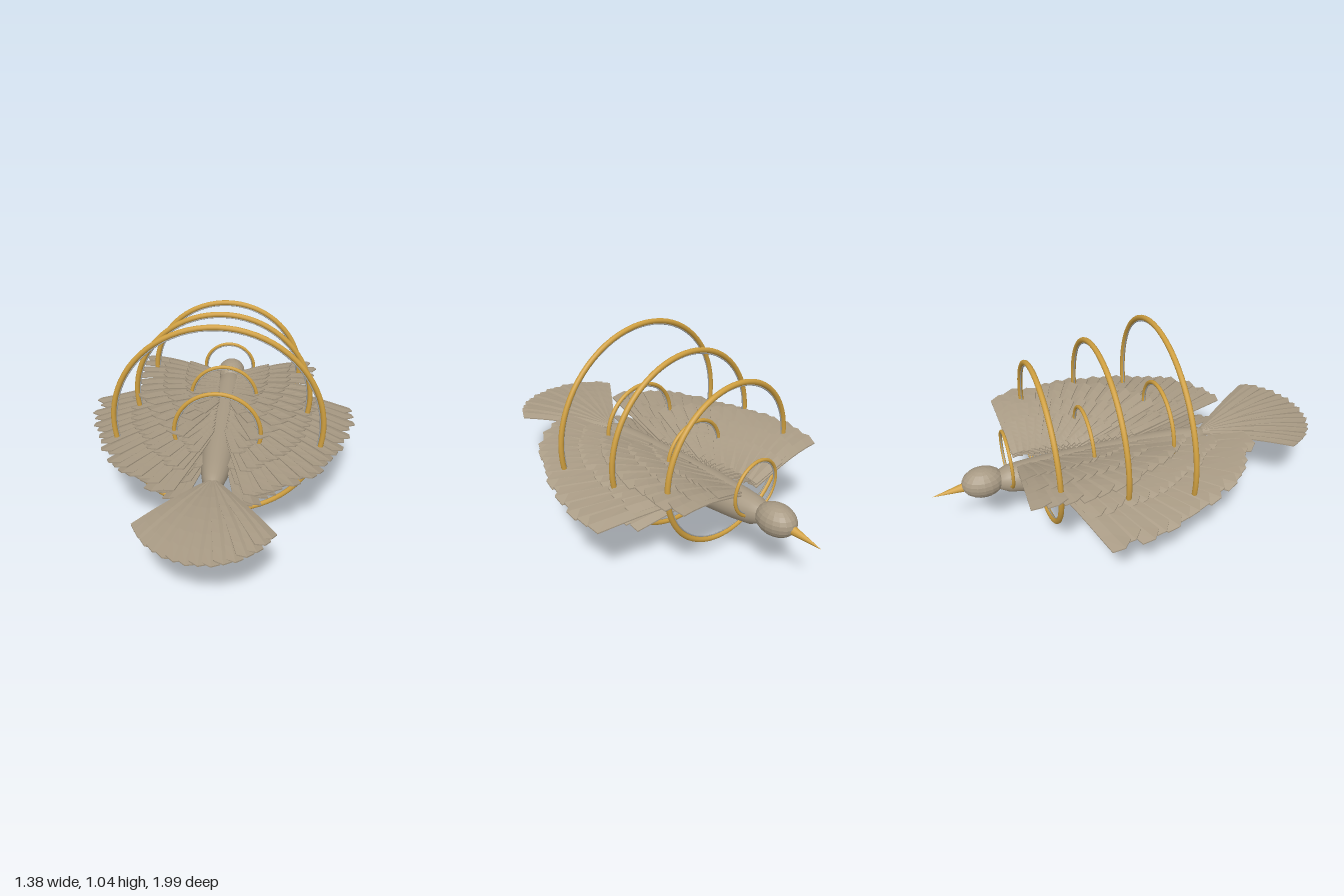
import * as THREE from 'three';
import { mergeGeometries } from 'three/addons/utils/BufferGeometryUtils.js';

const plumage = new THREE.MeshStandardMaterial({ color: 0xa89a84 });
const gold = new THREE.MeshStandardMaterial({ color: 0xd0a040 });
const silver = new THREE.MeshStandardMaterial({ color: 0xa4a6a6 });

let seed = 7;
const rand = () => (seed = (seed * 16807) % 2147483647) / 2147483647;
const lerp = THREE.MathUtils.lerp;

function add(parent, name, geometry, material) {
  const mesh = new THREE.Mesh(geometry, material);
  mesh.name = name;
  parent.add(mesh);
  return mesh;
}

function flat(geometry) {
  const g = geometry.index ? geometry.toNonIndexed() : geometry;
  g.computeVertexNormals();
  return g;
}

// One ridged feather that widens to a blunt tip and follows a height surface.
// angle 0 points sideways, 90 degrees points to the tail
function feather({ x, z, angle, length, rootWidth, tipWidth, side, height, tilt }) {
  const g = new THREE.BoxGeometry(1, 0.006, 1, 7, 1, 2);
  const p = g.attributes.position;
  const c = Math.cos(angle), s = Math.sin(angle);
  for (let i = 0; i < p.count; i++) {
    const t = p.getX(i) + 0.5;
    const across = p.getZ(i) * side;
    const u = length * (t - 0.08 * t * Math.abs(across));
    const w = across * lerp(rootWidth, tipWidth, Math.pow(t, 0.7));
    const px = x + u * c - w * s;
    const pz = z + u * s + w * c;
    const ridge = 0.006 * (1 - 2 * Math.abs(across));
    p.setXYZ(i, side * px, height(px, pz) + p.getY(i) + ridge + tilt * across * t, pz);
  }
  return flat(g);
}

// A wing: three overlapping rows of feathers fanned along the body
function wing(parent, name, side, o) {
  const group = new THREE.Group();
  group.name = name;
  const rows = [['flightFeathers', 1], ['middleFeathers', 0.7], ['shoulderFeathers', 0.42]];
  rows.forEach(([rowName, scale], row) => {
    const parts = [];
    for (let i = 0; i < o.count; i++) {
      const t = (i + (row === 1 ? 0.4 : 0)) / (o.count - 1);
      if (t > 1) continue;
      parts.push(feather({
        x: 0.05, z: lerp(o.z[0], o.z[1], t), side,
        angle: THREE.MathUtils.degToRad(lerp(o.angle[0], o.angle[1], t)),
        length: scale * (lerp(o.length[0], o.length[1], t) + o.bulge * Math.sin(Math.PI * t)) * (0.96 + 0.06 * rand()),
        rootWidth: 0.05, tipWidth: o.width * (1 - 0.12 * row), tilt: 0.02,
        height: (px) => o.height(Math.max(px, 0)) + 0.009 * row + 0.003 * (i % 2),
      }));
    }
    add(group, rowName, mergeGeometries(parts), plumage);
  });
  parent.add(group);
}

export function createModel() {
  const model = new THREE.Group();

  // Body, turned along z with a gently sagging belly
  const profile = [[0, -0.7], [0.045, -0.68], [0.068, -0.63], [0.08, -0.53], [0.09, -0.38], [0.094, -0.2],
    [0.09, 0], [0.081, 0.15], [0.068, 0.28], [0.052, 0.37], [0.03, 0.42], [0, 0.44]];
  const body = new THREE.LatheGeometry(profile.map(([r, z]) => new THREE.Vector2(r, z)), 22);
  body.rotateX(Math.PI / 2);
  const bp = body.attributes.position;
  for (let i = 0; i < bp.count; i++) {
    bp.setY(i, bp.getY(i) + 0.335 + 0.07 * (bp.getZ(i) + 0.15) ** 2);
  }
  body.computeVertexNormals();
  add(model, 'body', body, plumage);

  // Head and beak
  const head = add(model, 'head', flat(new THREE.SphereGeometry(1, 18, 12)), plumage);
  head.scale.set(0.079, 0.076, 0.105);
  head.position.set(0, 0.365, -0.75);
  const beak = add(model, 'beak', new THREE.ConeGeometry(0.024, 0.17, 12), gold);
  beak.rotation.x = -Math.PI / 2 - 0.12;
  beak.position.set(0, 0.347, -0.915);

  // Three pairs of wings
  const wings = {
    UpperWing: {
      count: 12, z: [-0.56, -0.25], angle: [0, 70], length: [0.42, 0.48], bulge: 0.02, width: 0.095,
      height: (x) => 0.41 + 0.12 * Math.sin(Math.min(1, x / 0.46) * Math.PI / 2),
    },
    MiddleWing: {
      count: 18, z: [-0.48, 0.03], angle: [19, 74], length: [0.67, 0.59], bulge: 0.08, width: 0.1,
      height: (x) => 0.405 + 0.03 * Math.sin(Math.min(1, x / 0.66) * Math.PI) - 0.005 * x,
    },
    LowerWing: {
      count: 14, z: [-0.35, 0.1], angle: [14, 76], length: [0.39, 0.45], bulge: 0.03, width: 0.085,
      height: (x) => 0.36 - 0.19 * x,
    },
  };
  for (const [name, options] of Object.entries(wings)) {
    wing(model, 'left' + name, 1, options);
    wing(model, 'right' + name, -1, options);
  }

  // Tail fan
  const tail = [];
  const tailCount = 15;
  for (let i = 0; i < tailCount; i++) {
    const k = (i / (tailCount - 1)) * 2 - 1;
    tail.push(feather({
      x: 0, z: 0.39, side: 1, angle: Math.PI / 2 - k * 0.59,
      length: 0.605 - 0.09 * k * k, rootWidth: 0.025, tipWidth: 0.075, tilt: 0.012,
      height: (px, pz) => 0.375 + 0.025 * Math.sin((pz - 0.39) * 5) + 0.004 * (i % 2),
    }));
  }
  add(model, 'tail', mergeGeometries(tail), plumage);

  // Upright hoops, each with a fine inner ring: radius, centre height, z, tube
  const hoops = [
    [0.507, 0.53, 0.145, 0.013], [0.447, 0.53, -0.155, 0.013], [0.39, 0.53, -0.457, 0.013],
    [0.21, 0.495, 0.16, 0.01], [0.172, 0.48, -0.232, 0.009], [0.137, 0.47, -0.622, 0.008],
  ];
  hoops.forEach(([r, y, z, tube], i) => {
    const hoop = new THREE.Group();
    hoop.name = i < 3 ? 'largeHoop' : 'smallHoop';
    hoop.position.set(0, y, z);
    add(hoop, 'outerRing', new THREE.TorusGeometry(r, tube, 10, 72), gold);
    add(hoop, 'innerRing', new THREE.TorusGeometry(r - tube - 0.003, 0.003, 6, 72), silver);
    model.add(hoop);
  });

  return model;
}
